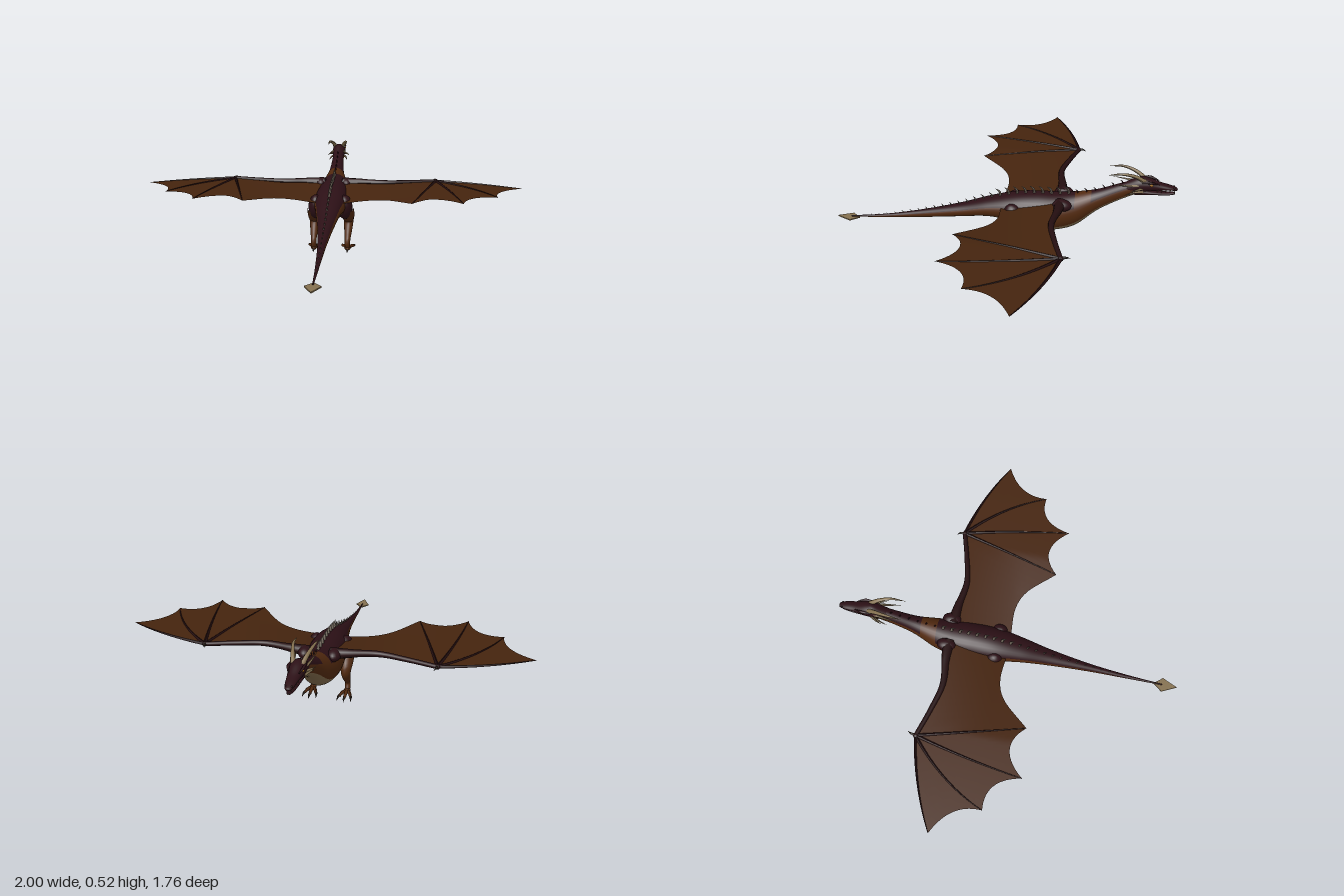
import * as THREE from 'three';

const mat = (name, color, side = THREE.FrontSide) => {
  const m = new THREE.MeshStandardMaterial({ color, side });
  m.name = name;
  return m;
};
const V = (x, y, z) => new THREE.Vector3(x, y, z);

// Body stations from tail to neck: z, top, bottom, half width
const BODY = [
  [0.8, 0.121, 0.115, 0.003], [0.6, 0.15, 0.13, 0.01], [0.4, 0.195, 0.152, 0.021],
  [0.2, 0.25, 0.18, 0.042], [0.05, 0.3, 0.2, 0.065], [-0.08, 0.335, 0.185, 0.086],
  [-0.2, 0.35, 0.15, 0.095], [-0.3, 0.353, 0.155, 0.092], [-0.4, 0.367, 0.19, 0.073],
  [-0.5, 0.392, 0.278, 0.045], [-0.6, 0.432, 0.343, 0.034], [-0.7, 0.47, 0.395, 0.031]];
const HEAD = [
  [-0.64, 0.45, 0.385, 0.03], [-0.7, 0.48, 0.398, 0.036], [-0.74, 0.478, 0.41, 0.037],
  [-0.8, 0.457, 0.42, 0.028], [-0.85, 0.445, 0.422, 0.022], [-0.88, 0.435, 0.421, 0.013],
  [-0.886, 0.429, 0.424, 0.001]];
const JAW = [
  [-0.68, 0.43, 0.382, 0.03], [-0.76, 0.413, 0.391, 0.024], [-0.83, 0.408, 0.392, 0.017],
  [-0.87, 0.41, 0.398, 0.01], [-0.876, 0.406, 0.402, 0.001]];

// Oval loft along -z; bandOf(sine of angle, z) picks the material index
function loft(stations, steps, bandOf) {
  const size = new THREE.CatmullRomCurve3(stations.map(s => V(s[1], s[2], s[3])), false, 'catmullrom');
  const along = new THREE.CatmullRomCurve3(stations.map(s => V(s[0], 0, 0)), false, 'catmullrom');
  const N = 32, pos = [], bands = [[], [], []];
  for (let i = 0; i <= steps; i++) {
    const { x: top, y: bottom, z: w } = size.getPoint(i / steps), z = along.getPoint(i / steps).x;
    for (let j = 0; j < N; j++) {
      const a = j / N * Math.PI * 2;
      pos.push(w * Math.cos(a), (top + bottom) / 2 + (top - bottom) / 2 * Math.sin(a), z);
      if (i === steps) continue;
      const p = i * N + j, q = i * N + (j + 1) % N;
      bands[bandOf(Math.sin((j + 0.5) / N * Math.PI * 2), z)].push(p, p + N, q, q, p + N, q + N);
    }
  }
  const g = new THREE.BufferGeometry();
  g.setAttribute('position', new THREE.Float32BufferAttribute(pos, 3));
  g.setIndex(bands.flat());
  let start = 0;
  bands.forEach((b, k) => { g.addGroup(start, b.length, k); start += b.length; });
  g.computeVertexNormals();
  return g;
}

// Tube through points whose radius follows a list of values
function taper(points, radii, steps = 12, sides = 8) {
  const curve = new THREE.CatmullRomCurve3(points);
  const g = new THREE.TubeGeometry(curve, steps, 1, sides);
  const p = g.attributes.position, v = V(0, 0, 0);
  for (let i = 0; i <= steps; i++) {
    const c = curve.getPointAt(i / steps), f = i / steps * (radii.length - 1);
    const k = Math.min(Math.floor(f), radii.length - 2);
    const r = THREE.MathUtils.lerp(radii[k], radii[k + 1], f - k);
    for (let j = 0; j <= sides; j++) {
      const n = i * (sides + 1) + j;
      v.fromBufferAttribute(p, n).sub(c).multiplyScalar(r).add(c);
      p.setXYZ(n, v.x, v.y, v.z);
    }
  }
  g.computeVertexNormals();
  return g;
}

// Height of the wing surface: level outside, sinking towards the rear of the root
const wingY = (x, z) => 0.335 - 0.065 * Math.max(0, 1 - x / 0.5) * THREE.MathUtils.clamp((z + 0.33) / 0.3, 0, 1);
const W = (x, z) => V(x, wingY(x, z), z);
const arc = (a, m, b) => new THREE.QuadraticBezierCurve3(V(a[0], 0, a[1]), V(m[0], 0, m[1]), V(b[0], 0, b[1]));

const WRIST = [0.56, -0.37], TIP = [1, -0.205];
const FINGERS = [
  [[0.49, -0.1], [0.42, 0.15]], [[0.63, -0.1], [0.667, 0.175]],
  [[0.76, -0.2], [0.85, 0.02]], [[0.8, -0.32], TIP]];
const SCALLOPS = [
  arc([0.42, 0.15], [0.54, 0.02], [0.667, 0.175]), arc([0.667, 0.175], [0.7, 0.0], [0.85, 0.02]),
  arc([0.85, 0.02], [0.84, -0.13], TIP)];

// Membrane panels, each spanning a front curve and a rear curve
function membrane(s) {
  const pos = [], idx = [], U = 14, T = 10;
  const panel = at => {
    const base = pos.length / 3;
    for (let i = 0; i <= U; i++) for (let j = 0; j <= T; j++) {
      const p = at(i / U, j / T);
      pos.push(s * p.x, wingY(p.x, p.z), p.z);
      if (i === U || j === T) continue;
      const a = base + i * (T + 1) + j, b = a + T + 1;
      if (s > 0) idx.push(a, a + 1, b, b, a + 1, b + 1);
      else idx.push(a, b, a + 1, b, b + 1, a + 1);
    }
  };
  const finger = FINGERS.map(f => arc(WRIST, f[0], f[1]));
  const front = arc([0.05, -0.33], [0.28, -0.265], WRIST);
  const rear = new THREE.CatmullRomCurve3([V(0.05, 0, -0.02), V(0.2, 0, -0.025), V(0.29, 0, 0.01), V(0.42, 0, 0.15)]);
  // inner panel ends on the first finger
  panel((u, t) => {
    const p = front.getPoint(u).lerp(rear.getPoint(u), t);
    const straight = front.getPoint(1).lerp(rear.getPoint(1), t);
    return p.add(finger[0].getPoint(t).sub(straight).multiplyScalar(u * u));
  });
  // outer panels fan out from the wrist between neighbouring fingers
  SCALLOPS.forEach((edge, k) => panel((u, t) => {
    const p = finger[k].getPoint(t).lerp(finger[k + 1].getPoint(t), u);
    const chord = finger[k].getPoint(1).lerp(finger[k + 1].getPoint(1), u);
    return p.add(edge.getPoint(u).sub(chord).multiplyScalar(t * t));
  }));
  const g = new THREE.BufferGeometry();
  g.setAttribute('position', new THREE.Float32BufferAttribute(pos, 3));
  g.setIndex(idx);
  g.computeVertexNormals();
  return g;
}

function spineTop(z) {
  const i = Math.max(1, BODY.findIndex(b => b[0] <= z)), a = BODY[i - 1], b = BODY[i];
  return THREE.MathUtils.lerp(a[1], b[1], (z - a[0]) / (b[0] - a[0]));
}

export function createModel() {
  const root = new THREE.Group();
  const scale = mat('dark scales', 0x2c1016), flank = mat('brown flank', 0x51290f);
  const belly = mat('pale belly', 0x7d6748), skin = mat('wing membrane', 0x45240e, THREE.DoubleSide);
  const bone = mat('wing bone', 0x240e10), horn = mat('horn', 0x84704f);
  const spike = mat('spine spike', 0x70665a), claw = mat('claw', 0x2a2018), eye = mat('eye', 0xb87814);
  const add = (name, geometry, material, parent = root) => {
    const m = new THREE.Mesh(geometry, material);
    m.name = name;
    parent.add(m);
    return m;
  };
  const ball = (name, m, x, y, z, sx, sy, sz) => {
    const b = add(name, new THREE.SphereGeometry(1, 20, 14), m);
    b.position.set(x, y, z);
    b.scale.set(sx, sy, sz);
    return b;
  };

  // Body, head and jaw
  add('body', loft(BODY, 110, (s, z) => s < -0.5 ? 2 : s < 0.35 || (z < -0.385 && z > -0.465) ? 1 : 0), [scale, flank, belly]);
  add('head', loft(HEAD, 36, s => s < -0.75 ? 1 : 0), [scale, flank, belly]);
  add('lowerJaw', loft(JAW, 24, s => s < -0.4 ? 1 : 0), [scale, flank, belly]);

  // Backward-leaning spikes, tallest over the back
  for (let i = 0; i < 31; i++) {
    const z = -0.62 + i * 0.0435;
    const h = z < -0.37 ? 0.022 : z < 0.03 ? 0.042 : 0.03 - 0.022 * z / 0.72;
    const y = spineTop(z) - 0.006;
    add('spineSpike', taper([V(0, y, z), V(0, y + h * 0.65, z + h * 0.15), V(0, y + h, z + h * 0.6)],
      [h * 0.2, h * 0.13, 0.0004], 6, 6), z < -0.37 ? scale : spike);
  }

  // Flat spade on the tail tip
  const spade = new THREE.Shape([[0, 0.755], [0.037, 0.8], [0, 0.877], [-0.037, 0.8]].map(p => new THREE.Vector2(...p)));
  const blade = add('tailSpade', new THREE.ExtrudeGeometry(spade, { depth: 0.006, bevelEnabled: false }), horn);
  blade.rotation.x = Math.PI / 2;
  blade.position.y = 0.116;

  for (const s of [1, -1]) {
    const P = (x, y, z) => V(s * x, y, z);
    const flip = p => p.setX(p.x * s);

    // Wing
    add('wingMembrane', membrane(s), skin);
    add('wingArm', taper([P(0.05, 0.325, -0.32), P(0.14, 0.332, -0.315), P(0.28, 0.335, -0.298), P(0.42, 0.335, -0.328),
      P(0.562, 0.335, -0.37)], [0.03, 0.018, 0.014, 0.012, 0.011], 24, 10), bone);
    ball('shoulder', scale, s * 0.07, 0.325, -0.33, 0.034, 0.03, 0.048);
    ball('wrist', bone, s * 0.56, 0.335, -0.368, 0.014, 0.012, 0.014);
    add('wristClaw', taper([P(0.558, 0.337, -0.37), P(0.556, 0.34, -0.392), P(0.546, 0.333, -0.41)], [0.007, 0.005, 0.0005], 8, 6), claw);
    FINGERS.forEach(([mid, end]) => add('wingFinger', taper(arc(WRIST, mid, end).getPoints(8).map(p => flip(W(p.x, p.z))),
      [0.0085, 0.005, 0.0015], 20, 6), bone));

    // Leg
    ball('thigh', scale, s * 0.076, 0.245, -0.09, 0.04, 0.068, 0.05).rotation.x = 0.35;
    add('leg', taper([P(0.08, 0.24, -0.09), P(0.09, 0.195, -0.13), P(0.092, 0.155, -0.16), P(0.091, 0.1, -0.13),
      P(0.09, 0.055, -0.092), P(0.09, 0.016, -0.105)], [0.042, 0.036, 0.026, 0.021, 0.015, 0.014], 26, 12), flank);
    ball('foot', flank, s * 0.09, 0.017, -0.11, 0.017, 0.013, 0.025);
    [[-0.03, -0.172], [0, -0.185], [0.03, -0.172], [0, -0.08]].forEach(([dx, z]) => {
      const x = 0.09 + dx, back = z > -0.1;
      add('toe', taper([P(0.09, 0.016, -0.11), P(0.09 + dx * 0.6, 0.019, (z - 0.11) / 2), P(x, 0.012, z)], [0.011, 0.009, 0.007], 8, 8), flank);
      add('toeClaw', taper([P(x, 0.013, z + (back ? -0.006 : 0.006)), P(x + dx * 0.1, 0.013, z + (back ? 0.006 : -0.012)),
        P(x + dx * 0.2, 0.001, z + (back ? 0.014 : -0.027))], [0.0075, 0.005, 0.0005], 8, 6), claw);
    });

    // Horns, cheek spines, brow, eye, nostril and teeth
    add('horn', taper([P(0.02, 0.465, -0.725), P(0.032, 0.492, -0.685), P(0.046, 0.51, -0.62), P(0.05, 0.503, -0.548)],
      [0.012, 0.009, 0.006, 0.0005], 18, 8), horn);
    [[0.43, 0.062, 0.425, -0.655], [0.412, 0.052, 0.4, -0.635], [0.445, 0.046, 0.45, -0.57]].forEach(([y0, x, y, z]) =>
      add('cheekSpine', taper([P(0.025, y0, -0.72), P(x * 0.8, y0, (z - 0.72) / 2), P(x, y, z)], [0.008, 0.005, 0.0005], 10, 6), horn));
    add('brow', taper([P(0.033, 0.465, -0.71), P(0.034, 0.468, -0.75), P(0.022, 0.456, -0.795)], [0.004, 0.007, 0.002], 8, 6), scale);
    ball('eye', eye, s * 0.033, 0.454, -0.757, 0.004, 0.005, 0.008);
    ball('nostril', bone, s * 0.014, 0.437, -0.868, 0.004, 0.003, 0.005);
    for (let i = 0; i < 5; i++) {
      const z = -0.79 - i * 0.02, x = 0.02 - i * 0.0025;
      add('tooth', taper([P(x, 0.426, z), P(x, 0.419, z), P(x, 0.411, z + 0.002)], [0.003, 0.002, 0.0003], 4, 5), horn);
    }
  }
  return root;
}
